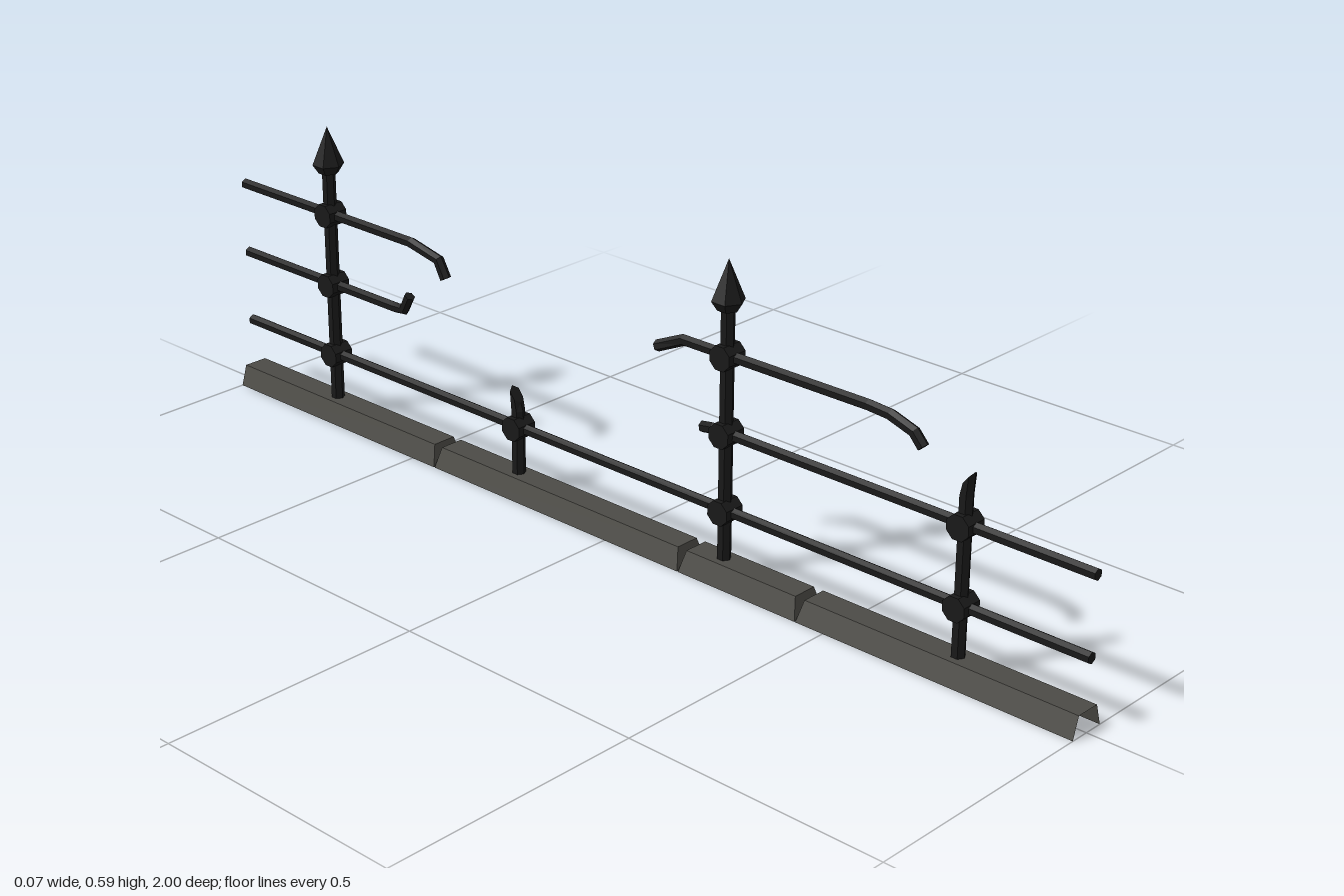
import * as THREE from 'three';

const iron = new THREE.MeshStandardMaterial({ color: 0x191919, flatShading: true });
iron.name = 'black iron';
const stone = new THREE.MeshStandardMaterial({ color: 0x4c4b46, flatShading: true, side: THREE.DoubleSide });
stone.name = 'grey stone';

function add(parent, name, geometry, material, x = 0, y = 0, z = 0) {
  const mesh = new THREE.Mesh(geometry, material);
  mesh.name = name;
  mesh.position.set(x, y, z);
  parent.add(mesh);
  return mesh;
}

// Apply a rule to every vertex of a geometry
function reshape(geometry, rule) {
  const pos = geometry.attributes.position;
  const v = new THREE.Vector3();
  for (let i = 0; i < pos.count; i++) {
    rule(v.fromBufferAttribute(pos, i));
    pos.setXYZ(i, v.x, v.y, v.z);
  }
  geometry.computeVertexNormals();
  return geometry;
}

// Hexagonal bar whose rings follow a bent path of [x, y, z] points
function barGeometry(path, radius) {
  const pts = path.map(p => new THREE.Vector3(...p));
  const last = pts.length - 1;
  const side = new THREE.Vector3(1, 0, 0);
  return reshape(new THREE.CylinderGeometry(radius, radius, 1, 6, last), v => {
    const i = Math.round((v.y + 0.5) * last);
    const tangent = pts[Math.min(i + 1, last)].clone().sub(pts[i]).normalize()
      .add(pts[i].clone().sub(pts[Math.max(i - 1, 0)]).normalize()).normalize();
    const up = side.clone().cross(tangent).normalize();
    const { x, z } = v;
    v.copy(pts[i]).addScaledVector(side, x).addScaledVector(up, z);
  });
}

// Hollow plinth stone with sloping sides and bevelled ends at the joints
function plinthGeometry(z0, z1, openBack, openFront) {
  const bevel = 0.01;
  const g = reshape(new THREE.BoxGeometry(1, 1, 1), v => {
    const top = v.y > 0, front = v.z > 0;
    v.x = Math.sign(v.x) * (top ? 0.024 : 0.036);
    v.y = top ? 0.04 : 0;
    v.z = front ? z1 - (top && !openFront ? bevel : 0.001)
                : z0 + (top && !openBack ? bevel : 0.001);
    if (front && openFront) v.z = z1;
    if (!front && openBack) v.z = z0;
  });
  // Box faces come in the order +x, -x, +y, -y, +z, -z
  const keep = [0, 1, 2];
  if (!openFront) keep.push(4);
  if (!openBack) keep.push(5);
  const index = Array.from(g.index.array);
  g.setIndex(keep.flatMap(f => index.slice(f * 6, f * 6 + 6)));
  g.clearGroups();
  return g;
}

export function createModel() {
  const fence = new THREE.Group();
  fence.name = 'brokenFence';

  // Plinth
  const joints = [-1, -0.44, 0.175, 0.44, 1];
  for (let i = 0; i < 4; i++) {
    add(fence, 'plinthStone', plinthGeometry(joints[i], joints[i + 1], i === 0, i === 3), stone);
  }

  // Posts: snapped ones have a slanted top, whole ones carry a spearhead
  const levels = [0.131, 0.274, 0.415];
  const posts = [
    { z: 0.75, top: 0.355, slant: 1.1, collars: 2 },
    { z: 0.25, top: 0.5, slant: 0, collars: 3 },
    { z: -0.25, top: 0.194, slant: -1.1, collars: 1 },
    { z: -0.75, top: 0.5, slant: 0, collars: 3 },
  ];
  const spear = [[0, 0.497], [0.019, 0.497], [0.03, 0.514], [0, 0.587]]
    .map(p => new THREE.Vector2(...p));
  for (const p of posts) {
    const post = new THREE.Group();
    post.name = p.slant ? 'brokenPost' : 'post';
    post.position.z = p.z;
    fence.add(post);
    const shaft = reshape(new THREE.CylinderGeometry(0.0127, 0.0127, 1, 6, 2), v => {
      const t = v.y + 0.5;
      if (t < 0.1) v.y = 0.02;
      else if (t < 0.9) v.y = p.top - 0.03;
      else {
        v.y = p.top + v.z * p.slant;
        if (p.slant) v.z = v.z * 0.85 + Math.sign(p.slant) * 0.004;
      }
    });
    add(post, 'shaft', shaft, iron);
    for (let i = 0; i < p.collars; i++) {
      const collar = new THREE.CylinderGeometry(0.0235, 0.0235, 0.041, 8);
      collar.rotateY(Math.PI / 8).rotateZ(Math.PI / 2);
      add(post, 'collar', collar, iron, 0, levels[i], 0);
    }
    if (!p.slant) add(post, 'spearhead', new THREE.LatheGeometry(spear, 6), iron);
  }

  // Rails, with bent and snapped ends
  const [low, mid, high] = levels;
  const rails = {
    lowerRail: [[0, low, 1], [0, low, -1]],
    middleRailFront: [[0, mid, 1], [0, mid, 0.222], [0.003, mid - 0.006, 0.194]],
    middleRailBack: [[0, 0.307, -0.534], [0, mid + 0.002, -0.55], [0, mid, -0.575], [0, mid, -1]],
    upperRailFront: [[0, 0.378, 0.662], [0, 0.399, 0.643], [0, 0.414, 0.595], [0, 0.417, 0.55],
      [0, high, 0.152], [-0.022, 0.4, 0.112]],
    upperRailBack: [[0, 0.368, -0.434], [0, 0.4, -0.452], [0, high, -0.525], [0, high, -1]],
  };
  for (const [name, path] of Object.entries(rails)) add(fence, name, barGeometry(path, 0.0105), iron);

  return fence;
}
